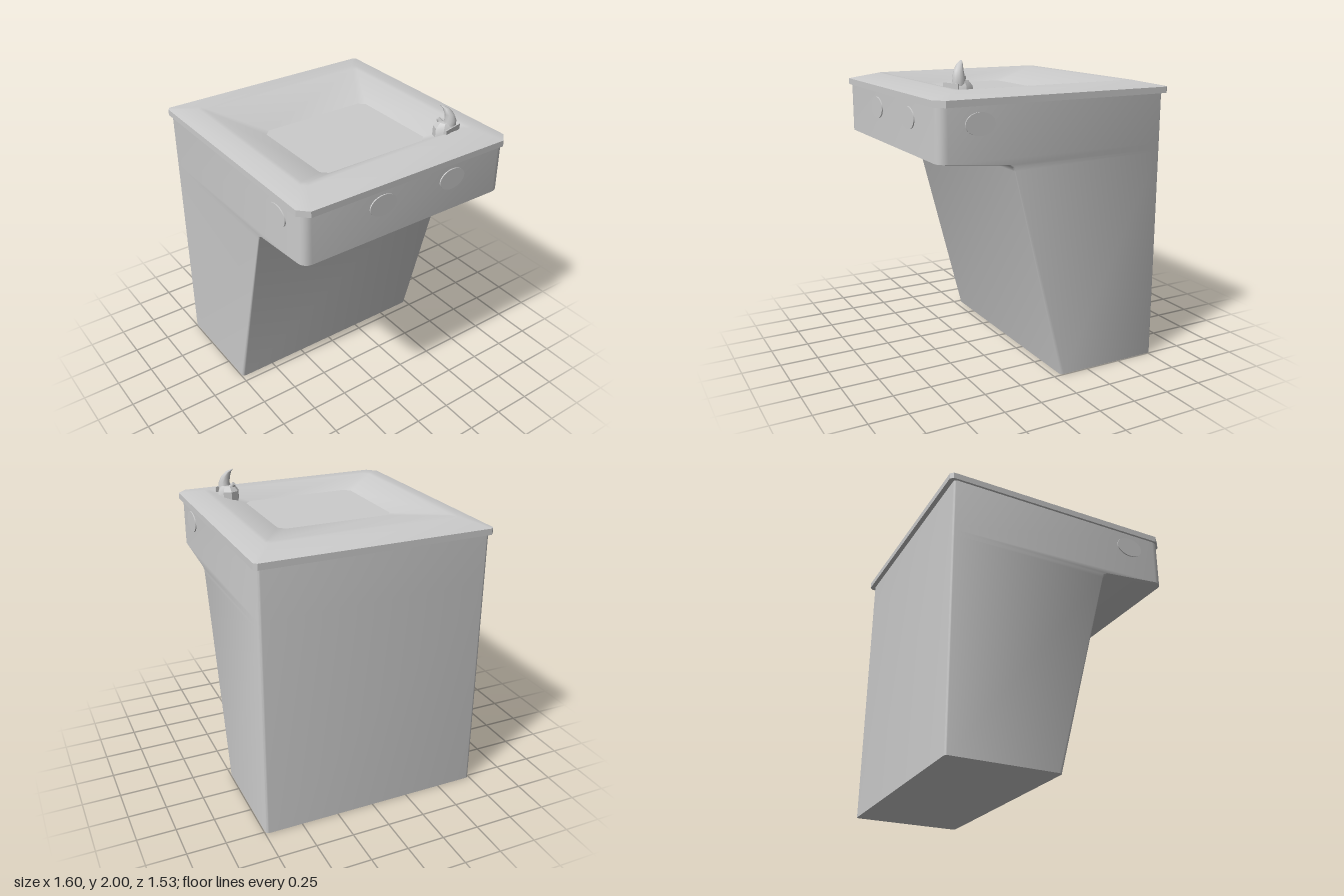
import * as THREE from 'three';
import { toCreasedNormals } from 'three/addons/utils/BufferGeometryUtils.js';

const material = new THREE.MeshStandardMaterial({ color: 0xcccccc });

function addMesh(parent, name, geometry) {
  const mesh = new THREE.Mesh(geometry, material);
  mesh.name = name;
  parent.add(mesh);
  return mesh;
}

// Rectangle in plan with a corner radius on the right and left ends
function planRing(y, x0, x1, z0, z1, rRight, rLeft, steps) {
  const ring = [];
  const corners = [[x1, z1, 1, 1, rRight], [x0, z1, -1, 1, rLeft], [x0, z0, -1, -1, rLeft], [x1, z0, 1, -1, rRight]];
  corners.forEach(([x, z, sx, sz, r], k) => {
    for (let i = 0; i <= steps; i++) {
      const a = (k + i / steps) * Math.PI / 2;
      ring.push([x - sx * r + r * Math.cos(a), y, z - sz * r + r * Math.sin(a)]);
    }
  });
  return ring;
}

function circleRing([x, y, z], r, sides) {
  return Array.from({ length: sides }, (_, i) => {
    const a = i / sides * Math.PI * 2;
    return [x + r * Math.cos(a), y, z + r * Math.sin(a)];
  });
}

// Skin a stack of rings and close both ends
function loft(rings, crease) {
  const n = rings[0].length;
  const last = (rings.length - 1) * n;
  const index = [];
  for (let k = 0; k < rings.length - 1; k++) {
    for (let i = 0; i < n; i++) {
      const a = k * n + i, b = k * n + (i + 1) % n;
      index.push(a, a + n, b, b, a + n, b + n);
    }
  }
  for (let i = 1; i < n - 1; i++) {
    index.push(0, i, i + 1, last, last + i + 1, last + i);
  }
  const geometry = new THREE.BufferGeometry();
  geometry.setAttribute('position', new THREE.Float32BufferAttribute(rings.flat(2), 3));
  geometry.setIndex(index);
  return toCreasedNormals(geometry, crease);
}

export function createModel() {
  const model = new THREE.Group();
  model.name = 'drinkingFountain';

  // Cabinet: sloping pedestal that swells into an overhanging head
  const sections = [
    // y, right edge, right corner radius
    [0, -0.05, 0.025], [1.37, 0.297, 0.012], [1.395, 0.31, 0.014],
    [1.41, 0.34, 0.018], [1.45, 0.78, 0.06], [1.775, 0.78, 0.06],
  ];
  addMesh(model, 'cabinet', loft(sections.map(([y, x, r]) =>
    planRing(y, -0.77, x, -0.745, 0.745, r, 0.02, 4)), 0.7));

  // Tray: chamfered rim, raised ridge, then the basin sloping to its floor
  addMesh(model, 'basinTray', loft([
    planRing(1.77, -0.8, 0.8, -0.77, 0.76, 0.06, 0.02, 1),
    planRing(1.81, -0.8, 0.8, -0.77, 0.76, 0.06, 0.02, 1),
    planRing(1.848, -0.62, 0.62, -0.63, 0.63, 0.03, 0.02, 1),
    planRing(1.845, -0.57, 0.585, -0.6, 0.6, 0.03, 0.02, 1),
    planRing(1.775, -0.2, 0.465, -0.39, 0.39, 0.04, 0.04, 1),
    planRing(1.755, -0.16, 0.44, -0.35, 0.345, 0.03, 0.03, 1),
  ], 0.75));

  // Oval push buttons: one on each end, two along the overhanging side
  const buttons = [
    ['frontButton', 0.52, 0.745, 0],
    ['backButton', 0.52, -0.745, 0],
    ['sideButtonFront', 0.78, 0.2, Math.PI / 2],
    ['sideButtonRear', 0.78, -0.32, Math.PI / 2],
  ];
  for (const [name, x, z, turn] of buttons) {
    const disc = new THREE.CylinderGeometry(1, 1, 0.014, 32);
    disc.rotateX(Math.PI / 2);
    disc.scale(0.095, 0.068, 1);
    disc.rotateY(turn);
    addMesh(model, name, disc).position.set(x, 1.665, z);
  }

  // Bubbler: collar, curved mouth guard, nozzle and back plate
  const bubbler = new THREE.Group();
  bubbler.name = 'bubbler';
  model.add(bubbler);
  addMesh(bubbler, 'bubblerCollar', loft([
    circleRing([0.51, 1.79, -0.485], 0.072, 8),
    circleRing([0.51, 1.855, -0.485], 0.07, 8),
    circleRing([0.515, 1.89, -0.487], 0.045, 8),
  ], 0.6));
  addMesh(bubbler, 'mouthGuard', loft([
    circleRing([0.53, 1.86, -0.5], 0.044, 10),
    circleRing([0.536, 1.905, -0.505], 0.037, 10),
    circleRing([0.532, 1.945, -0.495], 0.03, 10),
    circleRing([0.516, 1.98, -0.478], 0.019, 10),
    circleRing([0.495, 2.0, -0.455], 0.004, 10),
  ], 1));
  const nozzle = addMesh(bubbler, 'nozzle', new THREE.CylinderGeometry(0.014, 0.018, 0.05, 10));
  nozzle.position.set(0.49, 1.885, -0.465);
  nozzle.rotation.set(0.5, 0, 0.5);
  const plate = addMesh(bubbler, 'bubblerBackPlate', new THREE.BoxGeometry(0.008, 0.045, 0.14));
  plate.position.set(0.578, 1.85, -0.49);
  plate.rotation.y = 0.22;

  return model;
}
